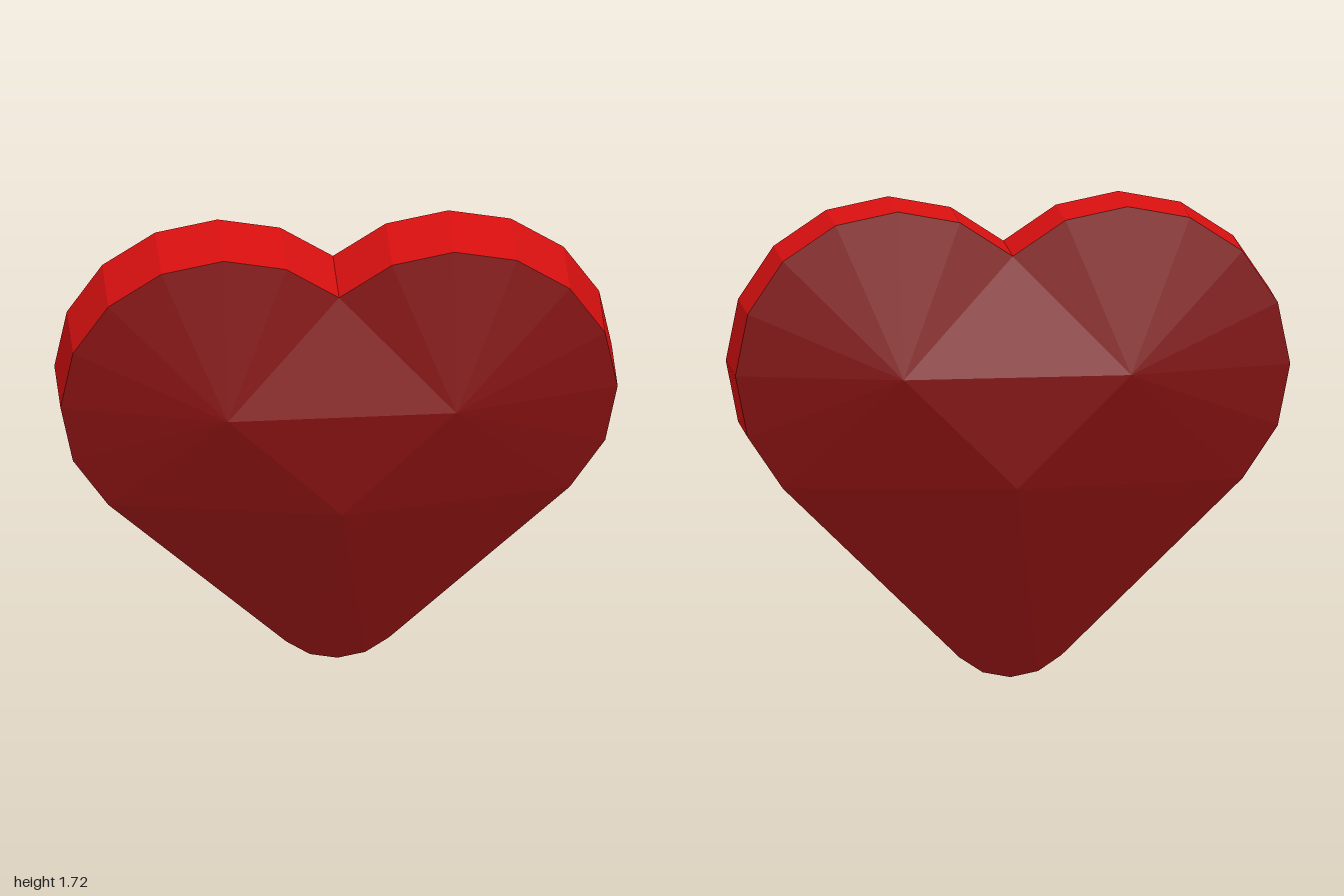
import * as THREE from 'three';

const RADIUS = 0.586, LOBE_X = RADIUS * Math.SQRT1_2, LOBE_Y = 1.136;
const TIP_RADIUS = 0.26, RIM_Z = 0.145, TIP_Z = 0.073, CROWN_Z = 0.29;

// Points on an arc, in steps of 22.5 degrees from step a to step b
function arc(cx, cy, r, a, b, z) {
  const pts = [];
  for (let i = a; i <= b; i++) {
    const t = i * Math.PI / 8;
    pts.push(new THREE.Vector3(cx + r * Math.cos(t), cy + r * Math.sin(t), z));
  }
  return pts;
}

const toBack = (p) => new THREE.Vector3(p.x, p.y, -p.z);

function facetMesh(name, points, material) {
  const geometry = new THREE.BufferGeometry().setFromPoints(points);
  geometry.computeVertexNormals();
  const mesh = new THREE.Mesh(geometry, material);
  mesh.name = name;
  return mesh;
}

export function createModel() {
  const rimRed = new THREE.MeshStandardMaterial({ color: 0xdd1010 });
  rimRed.name = 'bright red';
  const faceRed = new THREE.MeshStandardMaterial({ color: 0x801010 });
  faceRed.name = 'dark red';

  // Counterclockwise outline from the tip: tip, left lobe, notch, right lobe, tip
  const outline = [
    ...arc(0, TIP_RADIUS, TIP_RADIUS, -4, -2, TIP_Z),
    ...arc(LOBE_X, LOBE_Y, RADIUS, -2, 6, RIM_Z),
    ...arc(-LOBE_X, LOBE_Y, RADIUS, 3, 10, RIM_Z),
    ...arc(0, TIP_RADIUS, TIP_RADIUS, -6, -5, TIP_Z),
  ];
  const n = outline.length, leftCorner = 3, notch = 11, rightCorner = 19;

  // Raised flat triangle at the middle of each face
  const low = new THREE.Vector3(0, 0.728, CROWN_Z);
  const left = new THREE.Vector3(0.41, LOBE_Y, CROWN_Z);
  const right = new THREE.Vector3(-0.41, LOBE_Y, CROWN_Z);

  const front = [
    low, left, right,
    low, outline[leftCorner], left,
    left, outline[notch], right,
    low, right, outline[rightCorner],
  ];
  const rim = [];
  for (let i = 0; i < n; i++) {
    const a = outline[i], b = outline[(i + 1) % n];
    // Facets fan out from the nearest crown corner
    const hub = i < leftCorner || i >= rightCorner ? low : i < notch ? left : right;
    front.push(hub, a, b);
    rim.push(a, toBack(a), toBack(b), a, toBack(b), b);
  }
  const back = front.map(toBack).reverse();

  const heart = new THREE.Group();
  heart.name = 'heart';
  heart.add(
    facetMesh('frontFace', front, faceRed),
    facetMesh('backFace', back, faceRed),
    facetMesh('rim', rim, rimRed),
  );
  return heart;
}
